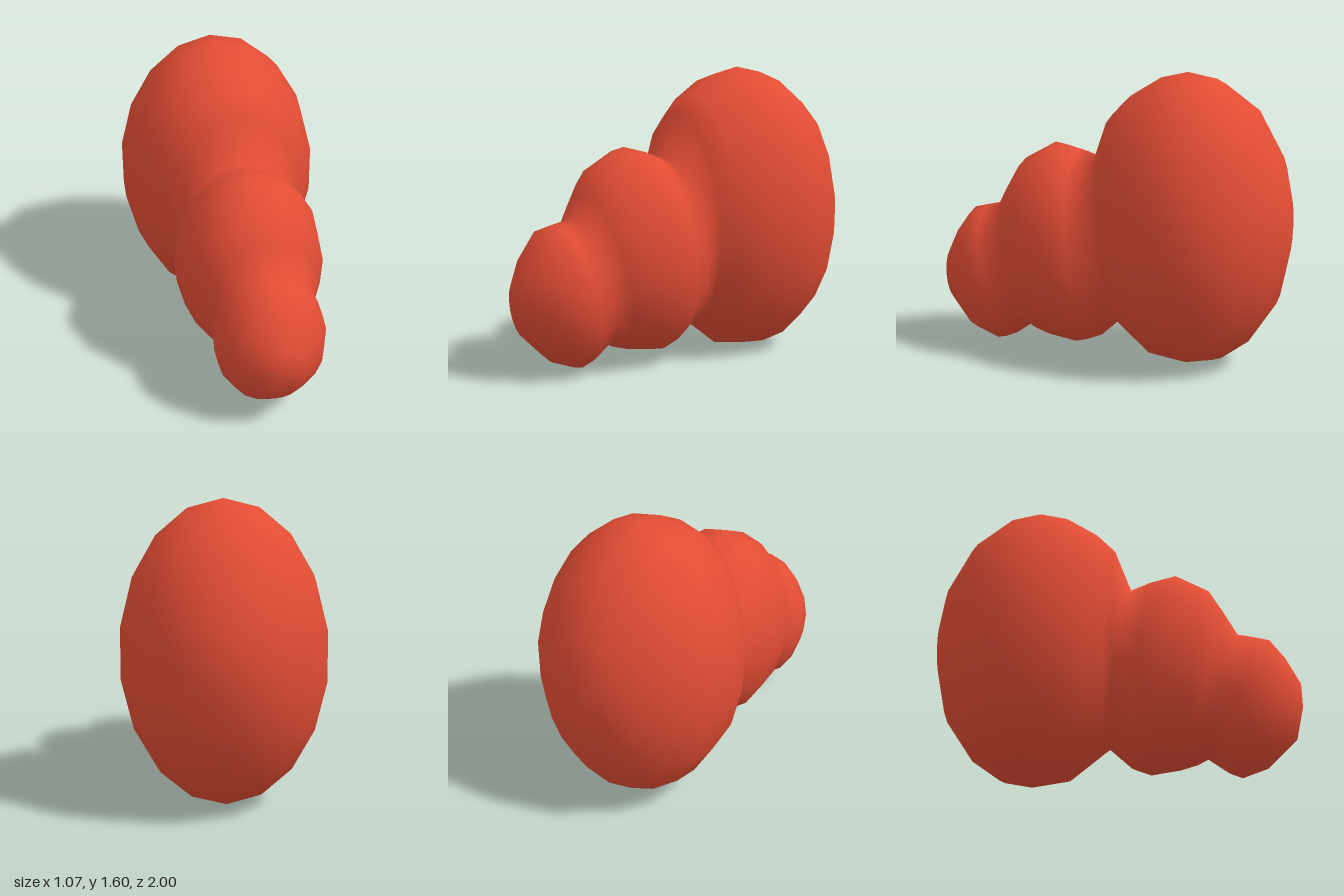
import * as THREE from 'three';

const SIDES = 18;

// Oval sections from back to front: [top z, top y, bottom z, bottom y, half width].
const REAR_LOBE = [
  [-0.985, 0.97, -0.985, 0.62, 0.125],
  [-0.93, 1.18, -0.93, 0.37, 0.28],
  [-0.78, 1.43, -0.78, 0.14, 0.445],
  [-0.58, 1.57, -0.63, 0.03, 0.53],
  [-0.42, 1.6, -0.48, 0.0, 0.545],
  [-0.27, 1.565, -0.27, 0.03, 0.52],
  [-0.1, 1.46, -0.14, 0.13, 0.44],
  [0.0, 1.36, -0.08, 0.175, 0.375],
];
const MIDDLE_LOBE = [
  [0.09, 1.11, -0.05, 0.2, 0.33],
  [0.2, 1.15, 0.07, 0.09, 0.385],
  [0.34, 1.185, 0.17, 0.05, 0.4],
  [0.52, 1.085, 0.33, 0.075, 0.375],
  [0.6, 0.95, 0.42, 0.1, 0.32],
];
const FRONT_LOBE = [
  [0.67, 0.82, 0.48, 0.13, 0.28],
  [0.76, 0.8, 0.59, 0.05, 0.295],
  [0.84, 0.78, 0.66, 0.02, 0.295],
  [0.92, 0.67, 0.8, 0.07, 0.25],
  [0.995, 0.53, 0.96, 0.22, 0.12],
];

// One closed skin: rings joined in order, with a point at each end.
function loftSkin(sections, backPoint, frontPoint) {
  const points = [];
  const faces = [];
  for (const [topZ, topY, bottomZ, bottomY, halfWidth] of sections) {
    for (let j = 0; j < SIDES; j++) {
      const angle = (j / SIDES) * Math.PI * 2;
      const t = (1 - Math.cos(angle)) / 2;
      points.push(
        halfWidth * Math.sin(angle),
        THREE.MathUtils.lerp(topY, bottomY, t),
        THREE.MathUtils.lerp(topZ, bottomZ, t),
      );
    }
  }
  points.push(...backPoint, ...frontPoint);
  const back = sections.length * SIDES;
  const front = back + 1;
  const lastRing = back - SIDES;

  for (let j = 0; j < SIDES; j++) {
    const k = (j + 1) % SIDES;
    for (let ring = 0; ring < lastRing; ring += SIDES) {
      const next = ring + SIDES;
      faces.push(ring + j, next + j, ring + k, ring + k, next + j, next + k);
    }
    faces.push(back, j, k, front, lastRing + k, lastRing + j);
  }

  const geometry = new THREE.BufferGeometry();
  geometry.setAttribute('position', new THREE.Float32BufferAttribute(points, 3));
  geometry.setIndex(faces);
  geometry.computeVertexNormals();
  return geometry;
}

export function createModel() {
  const model = new THREE.Group();
  model.name = 'lobedBody';
  const red = new THREE.MeshStandardMaterial({ color: 0xe34d34 });
  red.name = 'warm red';

  // Three lobes flowing into one another, shrinking toward the front.
  const sections = [...REAR_LOBE, ...MIDDLE_LOBE, ...FRONT_LOBE];
  const body = new THREE.Mesh(loftSkin(sections, [0, 0.8, -1], [0, 0.4, 1]), red);
  body.name = 'body';
  model.add(body);
  return model;
}
